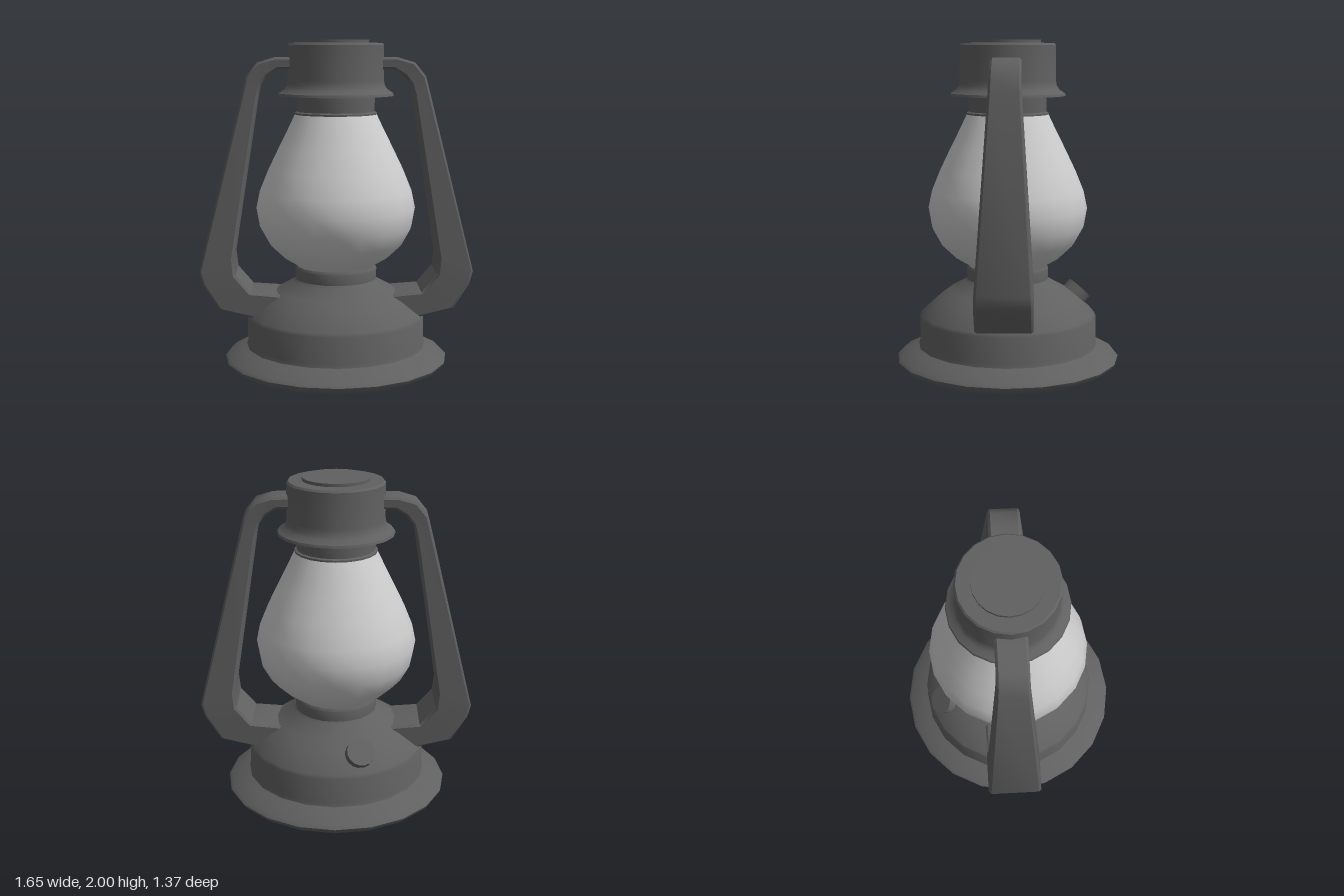
import * as THREE from 'three';
import { toCreasedNormals } from 'three/addons/utils/BufferGeometryUtils.js';

const SIDES = 20;
const CREASE = 0.6;

export function createModel() {
  const model = new THREE.Group();
  model.name = 'lantern';
  const metal = new THREE.MeshStandardMaterial({ color: 0x606060 });
  const glass = new THREE.MeshStandardMaterial({ color: 0xcccccc, side: THREE.DoubleSide });

  const add = (name, geometry, material) => {
    const mesh = new THREE.Mesh(toCreasedNormals(geometry, CREASE), material);
    mesh.name = name;
    model.add(mesh);
    return mesh;
  };
  // Turned part from [radius, height] pairs, bottom to top
  const turned = (name, profile, material) =>
    add(name, new THREE.LatheGeometry(profile.map(p => new THREE.Vector2(...p)), SIDES), material);

  // Fuel tank: rolled foot, drum, dome and collar
  turned('base', [
    [0, 0], [0.6, 0], [0.64, 0.012], [0.672, 0.036], [0.685, 0.06], [0.668, 0.078],
    [0.58, 0.12], [0.552, 0.135], [0.545, 0.155], [0.545, 0.315], [0.535, 0.335],
    [0.43, 0.43], [0.36, 0.48], [0.262, 0.535], [0.25, 0.55], [0.25, 0.615], [0.24, 0.63], [0, 0.63],
  ], metal);

  // Pear-shaped globe
  turned('glassGlobe', [
    [0.22, 0.625], [0.32, 0.685], [0.41, 0.77], [0.465, 0.87], [0.485, 0.985],
    [0.463, 1.09], [0.41, 1.22], [0.345, 1.355], [0.29, 1.465], [0.245, 1.56],
  ], glass);

  // Chimney neck with a thin lip
  turned('chimneyNeck', [
    [0, 1.555], [0.248, 1.555], [0.248, 1.566], [0.235, 1.572], [0.235, 1.68],
  ], metal);

  // Hood with flared skirt and raised lid
  turned('hood', [
    [0.23, 1.667], [0.35, 1.667], [0.345, 1.682], [0.31, 1.705], [0.295, 1.73],
    [0.29, 1.76], [0.29, 1.968], [0.28, 1.98], [0.2, 1.982], [0.2, 2], [0, 2],
  ], metal);

  // Side arms: [outer x, outer y, inner x, inner y, half depth] from hood to tank
  const arm = armGeometry([
    [0.26, 1.897, 0.26, 1.825, 0.09],
    [0.37, 1.895, 0.345, 1.825, 0.09],
    [0.47, 1.865, 0.41, 1.785, 0.09],
    [0.535, 1.785, 0.448, 1.735, 0.092],
    [0.56, 1.69, 0.465, 1.67, 0.096],
    [0.826, 0.615, 0.62, 0.7, 0.162],
    [0.805, 0.54, 0.609, 0.595, 0.165],
    [0.71, 0.387, 0.515, 0.485, 0.165],
    [0.49, 0.33, 0.36, 0.474, 0.165],
    [0.42, 0.31, 0.29, 0.46, 0.165],
  ], 0.014);
  add('leftArm', arm, metal);
  add('rightArm', arm, metal).rotation.y = Math.PI;

  // Filler cap, tilted on the back of the dome
  const cap = add('fillerCap', new THREE.CylinderGeometry(0.085, 0.085, 0.06, 16), metal);
  cap.position.set(-0.145, 0.43, -0.43);
  cap.quaternion.setFromUnitVectors(
    new THREE.Vector3(0, 1, 0), new THREE.Vector3(-0.23, 0.71, -0.67).normalize());

  return model;
}

// Skin chamfered rectangular sections along the arm
function armGeometry(sections, bevel) {
  const positions = [], index = [];
  for (const [ox, oy, ix, iy, d] of sections) {
    const t = bevel / Math.hypot(ox - ix, oy - iy);
    // [0 = outer edge to 1 = inner edge, depth]
    const ring = [
      [0, d - bevel], [0, bevel - d], [t, -d], [1 - t, -d],
      [1, bevel - d], [1, d - bevel], [1 - t, d], [t, d],
    ];
    for (const [s, z] of ring) positions.push(ox + (ix - ox) * s, oy + (iy - oy) * s, z);
  }
  for (let k = 0; k < sections.length - 1; k++) {
    for (let i = 0; i < 8; i++) {
      const a = k * 8 + i, d = k * 8 + (i + 1) % 8;
      index.push(a, a + 8, d + 8, a, d + 8, d);
    }
  }
  const geometry = new THREE.BufferGeometry();
  geometry.setAttribute('position', new THREE.Float32BufferAttribute(positions, 3));
  geometry.setIndex(index);
  return geometry;
}
